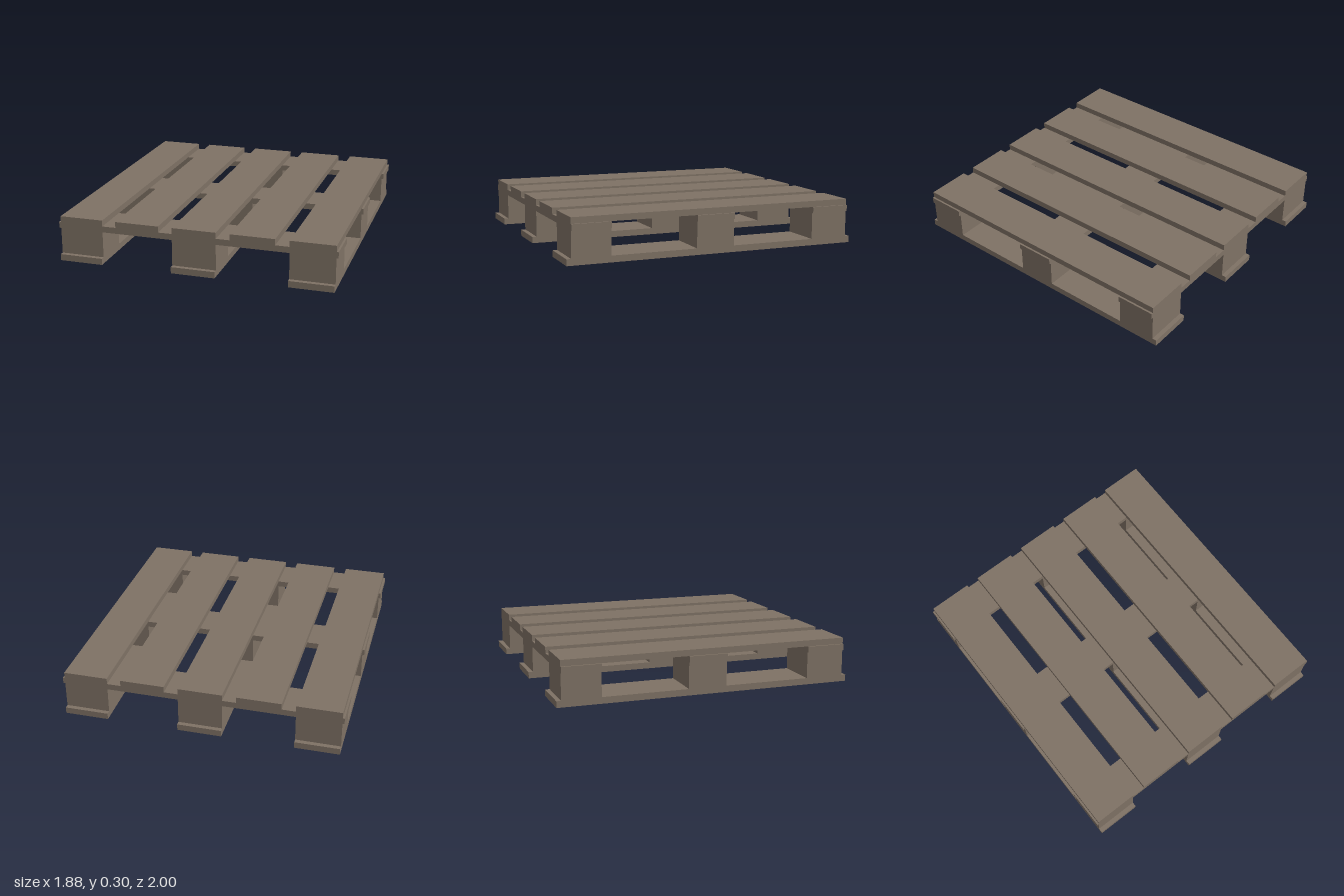
import * as THREE from 'three';

export function createModel() {
  const group = new THREE.Group();
  const wood = new THREE.MeshStandardMaterial({ color: 0x7f7265 });
  wood.name = 'weatheredWood';

  // Box spanning y0..y1, centred on x and z
  const plank = (name, x, z, width, depth, y0, y1) => {
    const mesh = new THREE.Mesh(new THREE.BoxGeometry(width, y1 - y0, depth), wood);
    mesh.name = name;
    mesh.position.set(x, (y0 + y1) / 2, z);
    group.add(mesh);
  };

  const boardWidth = 0.296;
  const rowDepth = 0.26;
  const columns = [-0.777, 0, 0.777];
  const rows = [-0.84, 0, 0.84];

  // Bottom runners and the spacer blocks standing on them
  for (const x of columns) {
    plank('bottomRunner', x, 0, boardWidth, 2, 0, 0.043);
    for (const z of rows) plank('spacerBlock', x, z, boardWidth, rowDepth, 0.043, 0.218);
  }

  // Cross boards tying the blocks together
  for (const z of rows) plank('crossBoard', 0, z, 1.876, rowDepth, 0.218, 0.259);

  // Five deck boards on top
  for (const x of [-0.777, -0.3885, 0, 0.3885, 0.777]) {
    plank('deckBoard', x, 0, boardWidth, 1.942, 0.259, 0.3);
  }

  return group;
}
